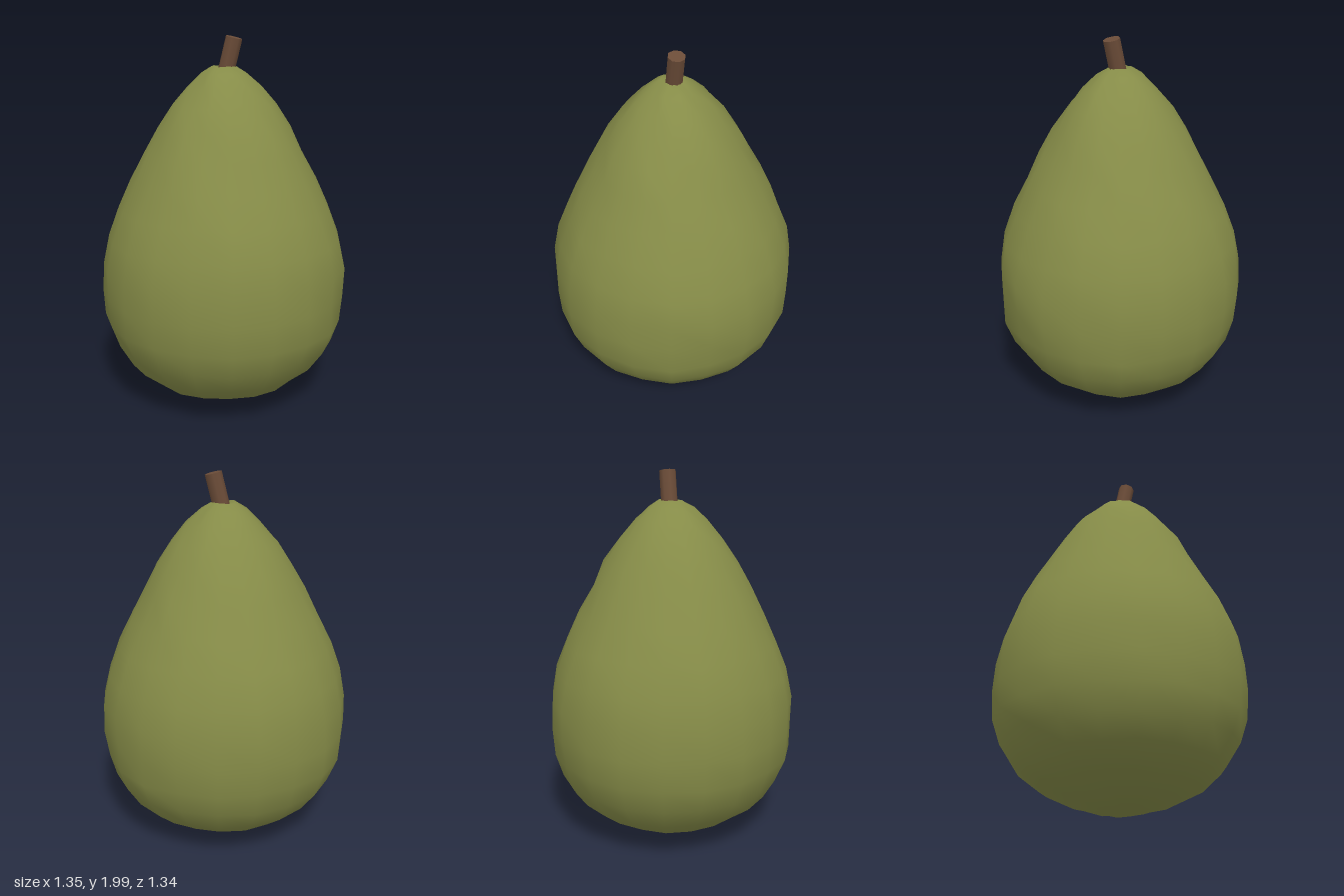
import * as THREE from 'three';
import { mergeVertices } from 'three/addons/utils/BufferGeometryUtils.js';

const SIDES = 20;

// Small repeatable hash in the range -1..1
function wobble(a, b) {
  const s = Math.sin(a * 127.1 + b * 311.7) * 43758.5453;
  return (s - Math.floor(s)) * 2 - 1;
}

// Teardrop fruit body: a lathe with slightly uneven rings
function fruitGeometry() {
  const profile = [
    [0, 0.01], [0.13, 0.02], [0.27, 0.06], [0.43, 0.135], [0.54, 0.225],
    [0.615, 0.34], [0.66, 0.47], [0.672, 0.62], [0.667, 0.775], [0.638, 0.93],
    [0.58, 1.09], [0.502, 1.24], [0.425, 1.39], [0.355, 1.52], [0.275, 1.64],
    [0.195, 1.735], [0.12, 1.805], [0.06, 1.84], [0, 1.82],
  ];
  const lathe = new THREE.LatheGeometry(profile.map(([r, y]) => new THREE.Vector2(r, y)), SIDES);
  const pos = lathe.attributes.position;
  const rows = profile.length;
  for (let i = 0; i < pos.count; i++) {
    const row = i % rows;
    const side = Math.floor(i / rows) % SIDES;
    const r = profile[row][0];
    if (r === 0) {
      pos.setXYZ(i, 0, profile[row][1], 0);
      continue;
    }
    const angle = (side / SIDES) * Math.PI * 2;
    const radius = r + wobble(row, side) * 0.008;
    const lift = wobble(side + 40, row) * 0.006;
    pos.setXYZ(i, Math.sin(angle) * radius, profile[row][1] + lift, Math.cos(angle) * radius);
  }
  // Weld the seam so the skin shades smoothly all round
  lathe.deleteAttribute('uv');
  lathe.deleteAttribute('normal');
  const skin = mergeVertices(lathe, 1e-4);
  skin.computeVertexNormals();
  return skin;
}

export function createModel() {
  const model = new THREE.Group();
  model.name = 'fruit';

  const green = new THREE.MeshStandardMaterial({ color: 0x868c48 });
  green.name = 'olive green skin';
  const brown = new THREE.MeshStandardMaterial({ color: 0x6b4c38 });
  brown.name = 'brown stem';

  const body = new THREE.Mesh(fruitGeometry(), green);
  body.name = 'body';
  model.add(body);

  // Short stem leaning towards the fruit's left
  const stem = new THREE.Mesh(new THREE.CylinderGeometry(0.045, 0.045, 0.22, 8), brown);
  stem.name = 'stem';
  stem.position.set(0.029, 1.882, -0.003);
  stem.rotation.z = -0.24;
  model.add(stem);

  return model;
}
